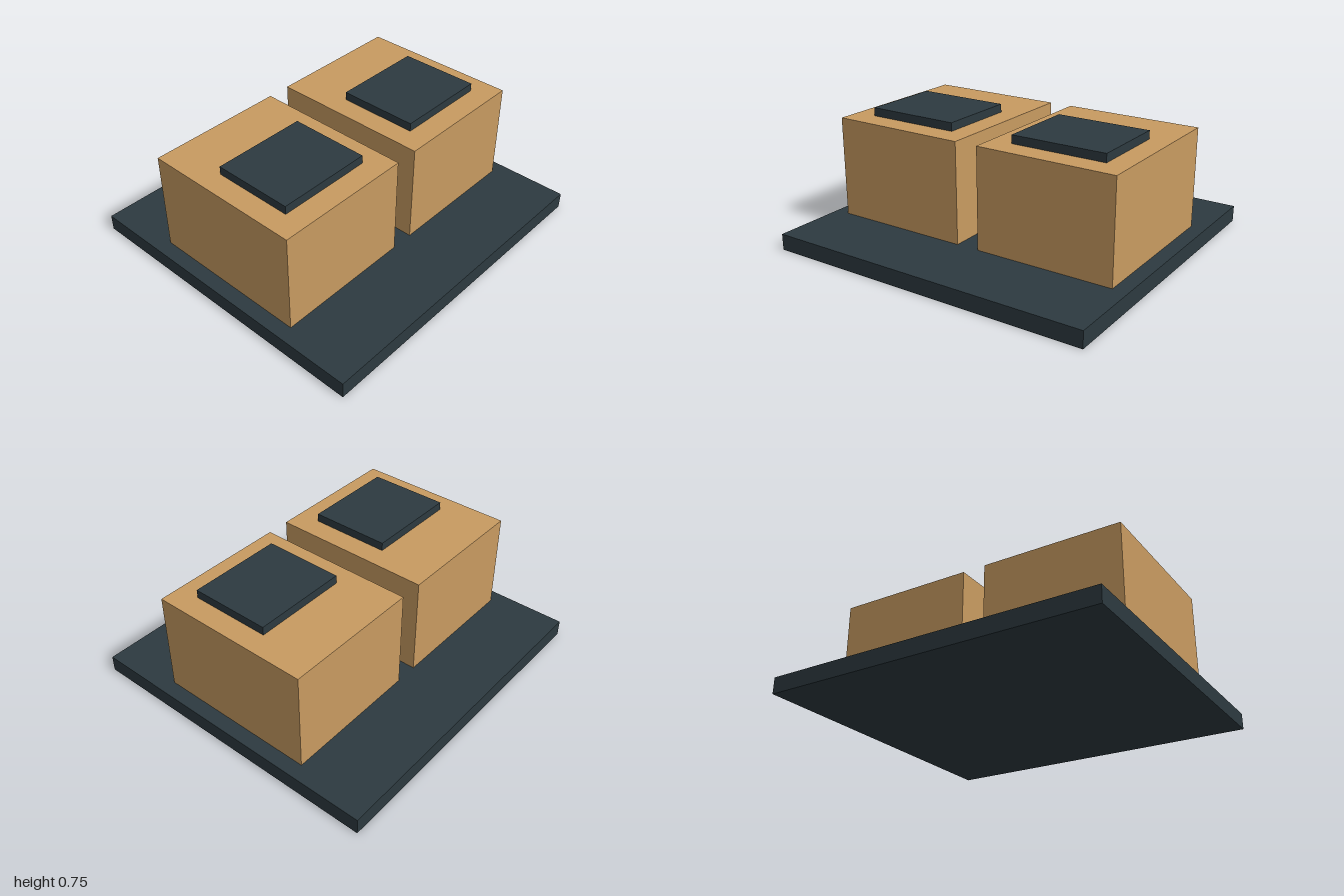
import * as THREE from 'three';

export function createModel() {
  const model = new THREE.Group();
  const slate = new THREE.MeshStandardMaterial({ color: 0x2d3a40 });
  slate.name = 'dark slate';
  const tan = new THREE.MeshStandardMaterial({ color: 0xc89b61 });
  tan.name = 'warm tan';

  // Box resting on height y
  function block(name, material, [w, h, d], [x, y, z]) {
    const mesh = new THREE.Mesh(new THREE.BoxGeometry(w, h, d), material);
    mesh.name = name;
    mesh.position.set(x, y + h / 2, z);
    model.add(mesh);
  }

  // Base slab
  block('base', slate, [2, 0.098, 1.875], [0, 0, 0]);

  // Two matching blocks, each with a pad set toward the front
  for (const [side, s] of [['left', 1], ['right', -1]]) {
    block(side + 'Block', tan, [0.84, 0.605, 0.98], [s * 0.49, 0.098, 0]);
    block(side + 'Pad', slate, [0.575, 0.05, 0.485], [s * 0.49, 0.703, 0.108]);
  }
  return model;
}
